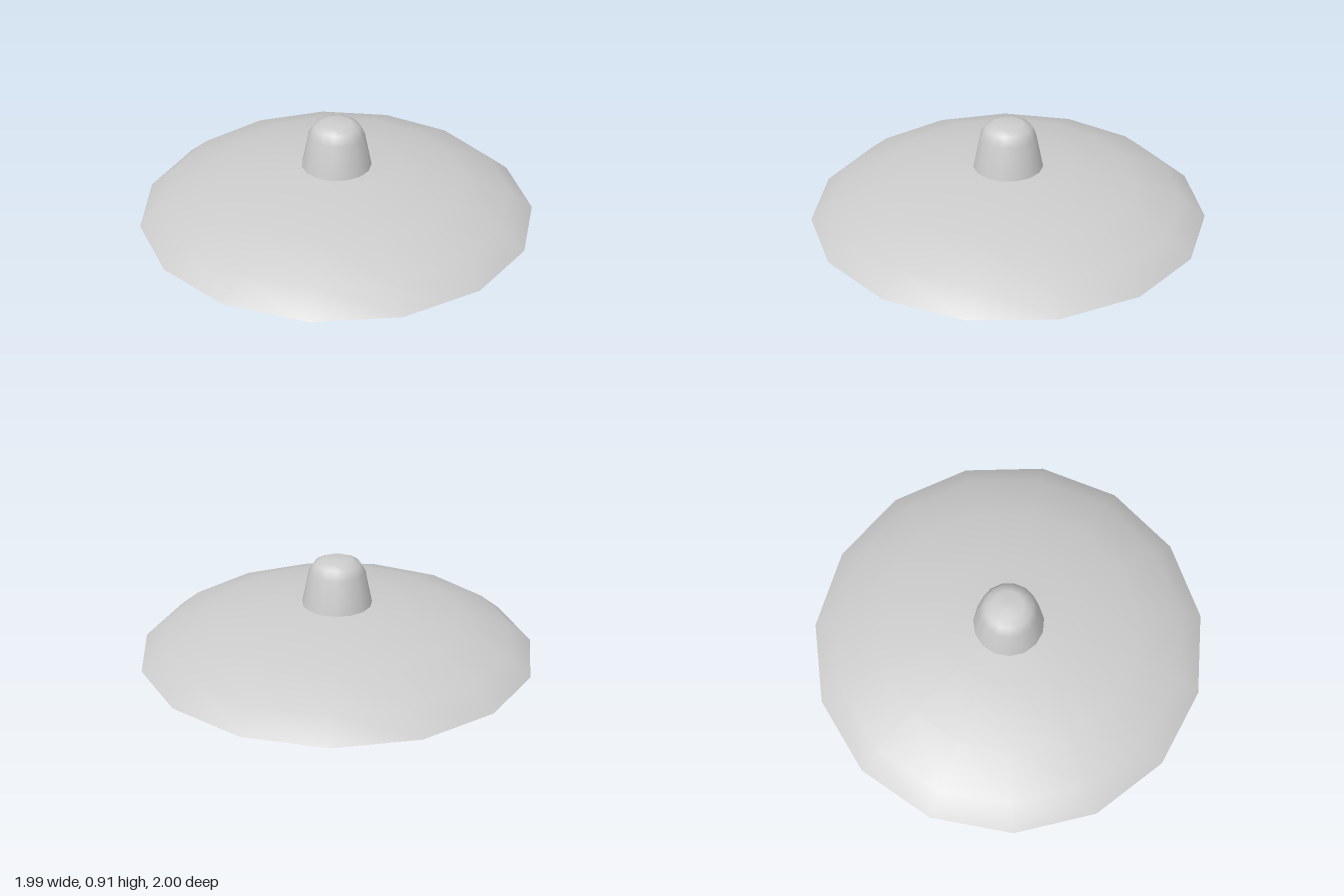
import * as THREE from 'three';

const SIDES = 15;
const material = new THREE.MeshStandardMaterial({ color: 0xcccccc });

// Smooth turned part; profile is [radius, height] pairs, with one corner on +x
function turned(name, profile) {
  const points = profile.map(([r, y]) => new THREE.Vector2(r, y));
  const mesh = new THREE.Mesh(new THREE.LatheGeometry(points, SIDES, Math.PI / 2), material);
  mesh.name = name;
  return mesh;
}

export function createModel() {
  const lamp = new THREE.Group();
  lamp.name = 'pendantLamp';

  // Shallow domed shade: outer skin and inner lining meeting at the rim
  const shade = new THREE.Group();
  shade.name = 'shade';
  shade.add(
    turned('shadeOuter', [[1.005, 0.425], [0.887, 0.52], [0.645, 0.607], [0.34, 0.665], [0, 0.685]]),
    turned('shadeLining', [[0, 0.635], [0.33, 0.615], [0.63, 0.57], [0.87, 0.495], [1.005, 0.425]])
  );

  // Socket cap with a rounded top
  const socket = turned('socket', [
    [0.178, 0.67], [0.175, 0.685], [0.142, 0.845], [0.115, 0.89], [0.075, 0.908], [0, 0.912],
  ]);

  // Bulb: rounded bottom, then a neck tapering up into the shade
  const bulbProfile = [];
  const radius = 0.239;
  for (let i = 0; i <= 8; i++) {
    const a = (i / 8) * (Math.PI / 2);
    bulbProfile.push([radius * Math.sin(a), 0.242 - radius * Math.cos(a)]);
  }
  bulbProfile.push([0.235, 0.28], [0.205, 0.425], [0.16, 0.65]);
  const bulb = turned('bulb', bulbProfile);

  lamp.add(shade, socket, bulb);
  lamp.position.x = -0.012;
  const model = new THREE.Group();
  model.add(lamp);
  return model;
}
